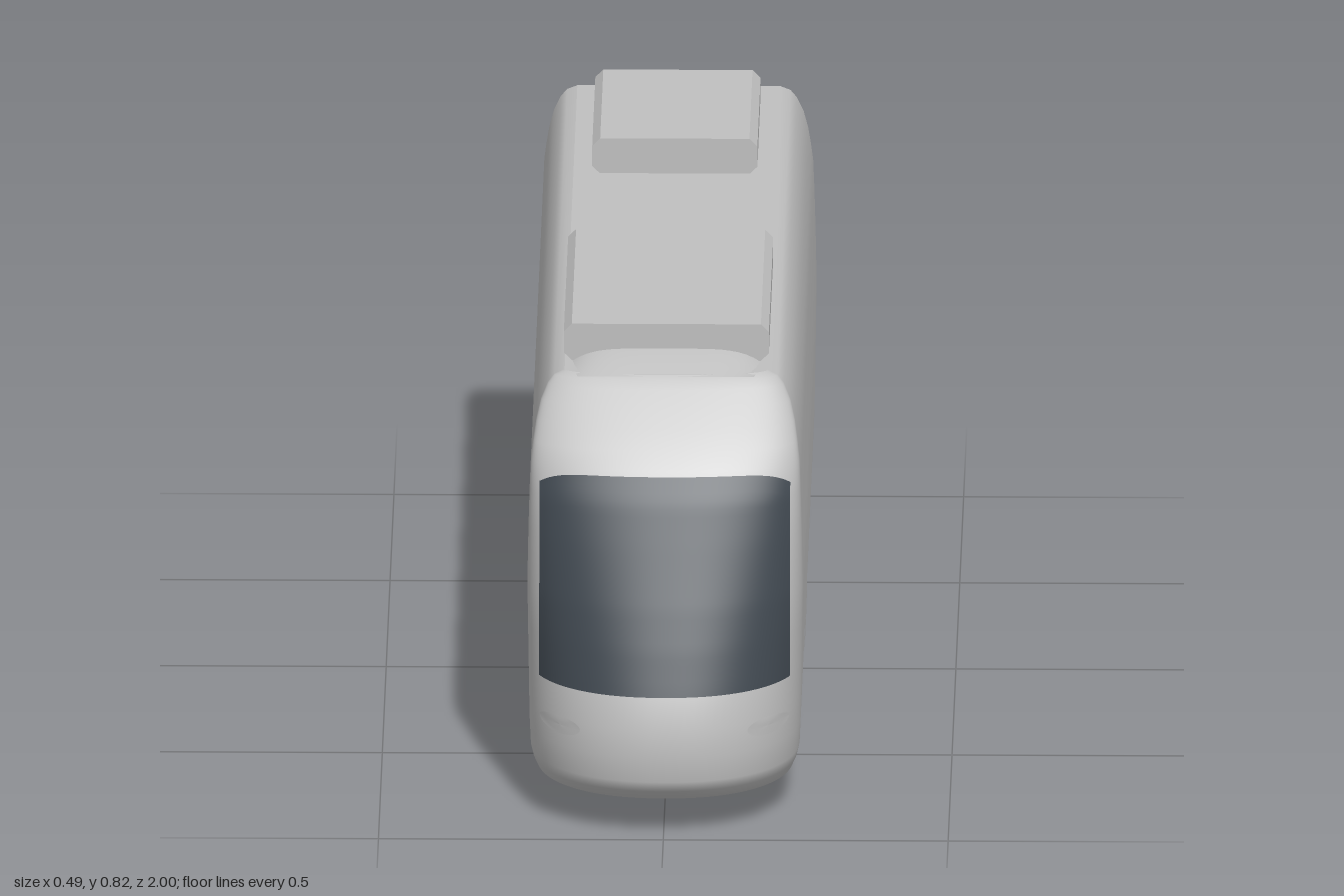
import * as THREE from 'three';

const paint = new THREE.MeshStandardMaterial({ color: 0xc0c0c0 });
paint.name = 'light grey paint';
const glass = new THREE.MeshStandardMaterial({ color: 0x404850 });
glass.name = 'dark glass';

// Body levels: height, half width, nose tip z, depth of the nose curve
const LEVELS = [
  [0.065, 0.225, 0.965, 0.24], [0.085, 0.232, 0.988, 0.25], [0.105, 0.236, 0.998, 0.25],
  [0.15, 0.238, 1.0, 0.25], [0.2, 0.239, 0.999, 0.25], [0.26, 0.24, 0.982, 0.24],
  [0.33, 0.241, 0.956, 0.21], [0.4, 0.242, 0.927, 0.175], [0.5, 0.24, 0.882, 0.13],
  [0.57, 0.238, 0.85, 0.1], [0.62, 0.236, 0.82, 0.08], [0.65, 0.232, 0.795, 0.075],
  [0.68, 0.227, 0.766, 0.07], [0.71, 0.219, 0.735, 0.06], [0.735, 0.207, 0.708, 0.05],
  [0.748, 0.196, 0.693, 0.04], [0.755, 0.178, 0.682, 0.035],
];
const POWER = 2.2;

function levelAt(y) {
  let i = 0;
  while (i < LEVELS.length - 2 && LEVELS[i + 1][0] < y) i++;
  const a = LEVELS[i], b = LEVELS[i + 1];
  const t = (y - a[0]) / (b[0] - a[0]);
  return a.map((value, k) => value + (b[k] - value) * t);
}

// Nose surface depth at a given x and y
function noseZ(x, y) {
  const [, w, tip, depth] = levelAt(y);
  const side = Math.pow(Math.min(1, Math.abs(x) / w), POWER);
  return tip - depth + depth * Math.pow(1 - side, 1 / POWER);
}

// Plan outline of one level, from the back right corner round the nose
function outline([, w, tip, depth]) {
  const points = [[-w, -1]];
  const steps = 48;
  for (let i = 0; i <= steps; i++) {
    const a = Math.PI * (1 - i / steps);
    const c = Math.cos(a), s = Math.max(0, Math.sin(a));
    points.push([
      w * Math.sign(c) * Math.pow(Math.abs(c), 2 / POWER),
      tip - depth + depth * Math.pow(s, 2 / POWER),
    ]);
  }
  points.push([w, -1]);
  return points;
}

// Surface from a rule f(i, j) giving [x, y, z]
function grid(nu, nv, f) {
  const positions = [], index = [];
  for (let j = 0; j <= nv; j++) {
    for (let i = 0; i <= nu; i++) {
      positions.push(...f(i, j));
      if (i < nu && j < nv) {
        const a = j * (nu + 1) + i, b = a + nu + 1;
        index.push(a, a + 1, b + 1, a, b + 1, b);
      }
    }
  }
  const geometry = new THREE.BufferGeometry();
  geometry.setAttribute('position', new THREE.Float32BufferAttribute(positions, 3));
  geometry.setIndex(index);
  geometry.computeVertexNormals();
  return geometry;
}

const flat = (points) => new THREE.ShapeGeometry(
  new THREE.Shape(points.map(([x, y]) => new THREE.Vector2(x, y))));

// Roof box with chamfered long edges
function roofBox(halfWidth, y0, y1, z0, z1) {
  const c = 0.014, w = halfWidth;
  const shape = new THREE.Shape([
    [-w + c, y0], [w - c, y0], [w, y0 + c], [w, y1 - c],
    [w - c, y1], [-w + c, y1], [-w, y1 - c], [-w, y0 + c],
  ].map(([x, y]) => new THREE.Vector2(x, y)));
  return new THREE.ExtrudeGeometry(shape, { depth: z1 - z0, bevelEnabled: false }).translate(0, 0, z0);
}

export function createModel() {
  const model = new THREE.Group();
  model.name = 'tram';
  const add = (name, geometry, material = paint, parent = model) => {
    const mesh = new THREE.Mesh(geometry, material);
    mesh.name = name;
    parent.add(mesh);
    return mesh;
  };

  // Body shell with roof, floor and back wall
  const rings = LEVELS.map(outline);
  add('bodyShell', grid(rings[0].length - 1, rings.length - 1,
    (i, j) => [rings[j][i][0], LEVELS[j][0], rings[j][i][1]]));
  const topRing = rings[rings.length - 1];
  add('roof', flat(topRing.map(([x, z]) => [x, -z])).rotateX(-Math.PI / 2).translate(0, 0.755, 0));
  add('floor', flat(rings[0]).rotateX(Math.PI / 2).translate(0, 0.065, 0));
  const rightEdge = LEVELS.map(([y, w]) => [w, y]);
  const leftEdge = LEVELS.map(([y, w]) => [-w, y]).reverse();
  add('backWall', flat([...rightEdge, ...leftEdge]).rotateY(Math.PI).translate(0, 0, -1));

  // Windscreen wrapped on the nose, with softened top corners
  add('windscreen', grid(48, 28, (i, j) => {
    const u = i / 24 - 1;
    const top = 0.613 - 0.02 * Math.pow(Math.abs(u), 8);
    const x = 0.22 * u, y = 0.257 + (top - 0.257) * j / 28;
    return [x, y, noseZ(x, y) + 0.004];
  }), glass);

  for (const side of [-1, 1]) {
    const name = side > 0 ? 'left' : 'right';

    // Headlight cover lying on the nose
    add(name + 'Headlight', grid(28, 3, (i, j) => {
      const a = i / 28 * Math.PI * 2, r = 1 - j / 3;
      const x = side * 0.183 + 0.036 * r * Math.cos(a);
      const y = 0.188 + 0.016 * r * Math.sin(a);
      return [x, y, noseZ(x, y) + 0.002];
    }));

    // Two door leaves per side
    for (const [z0, z1] of [[0.12, 0.258], [0.262, 0.41]]) {
      add(name + 'DoorLeaf', grid(1, 10, (i, j) => {
        const y = 0.105 + 0.46 * j / 10;
        const forward = side > 0 ? i === 0 : i === 1;
        return [side * (levelAt(y)[1] + 0.0015), y, forward ? z1 : z0];
      }));
    }
  }

  // Domed fairing in front of the roof box
  add('roofFairing', grid(24, 16, (i, j) => {
    const u = i / 12 - 1, v = j / 16;
    const rise = v < 0.35 ? Math.sin(v / 0.35 * Math.PI / 2) : Math.cos((v - 0.35) / 0.65 * Math.PI / 2);
    const half = 0.155 + 0.015 * rise;
    return [half * u, 0.753 + 0.03 * rise * (1 - Math.pow(Math.abs(u), 5)), 0.685 - 0.385 * v];
  }));

  // Roof equipment boxes
  add('frontRoofBox', roofBox(0.18, 0.756, 0.823, 0.05, 0.6));
  add('rearRoofBox', roofBox(0.145, 0.754, 0.819, -0.89, -0.49));

  // Wheel sets: flange, tread and axle
  const wheelProfile = [[0, 0.152], [0.066, 0.152], [0.07, 0.157], [0.07, 0.162], [0.064, 0.167],
    [0.061, 0.182], [0.057, 0.185], [0, 0.185]].map(([r, x]) => new THREE.Vector2(r, x));
  for (const z of [-0.26, -0.66]) {
    const wheelSet = new THREE.Group();
    wheelSet.name = 'wheelSet';
    wheelSet.position.set(0, 0.07, z);
    model.add(wheelSet);
    for (const side of [-1, 1]) {
      add('wheel', new THREE.LatheGeometry(wheelProfile, 32).rotateZ(-side * Math.PI / 2), paint, wheelSet);
    }
    add('axle', new THREE.CylinderGeometry(0.012, 0.012, 0.31, 16).rotateZ(Math.PI / 2), paint, wheelSet);
  }
  return model;
}
